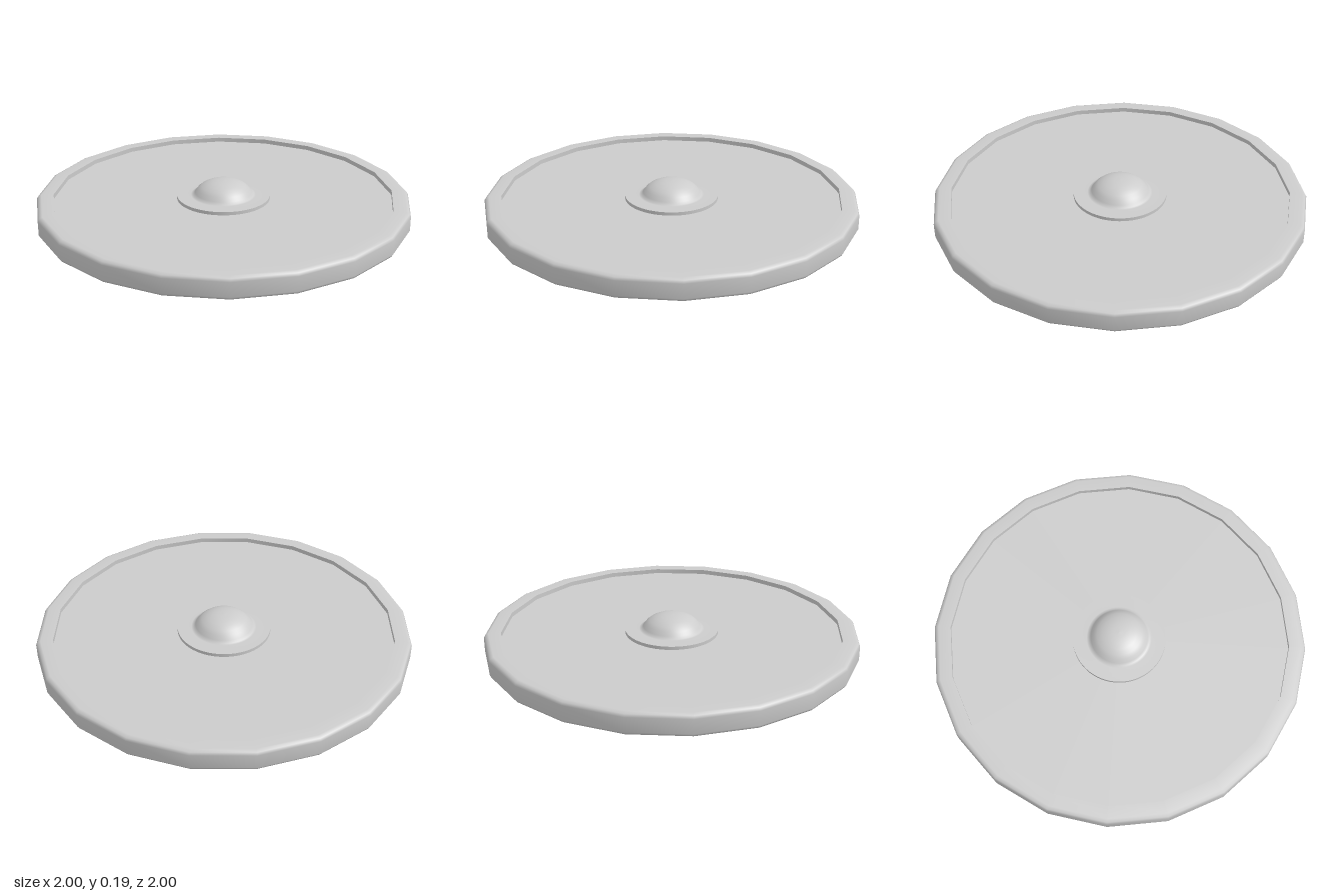
import * as THREE from 'three';
import { mergeGeometries } from 'three/addons/utils/BufferGeometryUtils.js';

const RIM_SIDES = 20;
const BOSS_SIDES = 64;

// Revolves separate profile runs; edges between runs stay sharp.
function turned(name, sides, runs) {
  const parts = runs.map((run) =>
    new THREE.LatheGeometry(run.map(([r, y]) => new THREE.Vector2(r, y)), sides));
  const mesh = new THREE.Mesh(
    mergeGeometries(parts),
    new THREE.MeshStandardMaterial({ color: 0xcccccc })
  );
  mesh.name = name;
  return mesh;
}

export function createModel() {
  const group = new THREE.Group();
  group.name = 'roundShield';

  // Rim: bevelled outside, sharp inner walls above and below the plate
  group.add(turned('rim', RIM_SIDES, [
    [[0.91, 0], [0.975, 0], [0.992, 0.008], [1, 0.022], [1, 0.098], [0.992, 0.112], [0.975, 0.12], [0.91, 0.12]],
    [[0.91, 0.12], [0.91, 0.095]],
    [[0.91, 0.03], [0.91, 0]],
  ]));

  // Plate: flat faces sunk inside the rim
  group.add(turned('plate', RIM_SIDES, [
    [[0, 0.03], [0.91, 0.03]],
    [[0.91, 0.095], [0, 0.095]],
  ]));

  // Boss: thin round base, then a dome blending out of it
  group.add(turned('boss', BOSS_SIDES, [
    [[0.25, 0.095], [0.25, 0.113]],
    [[0.25, 0.113], [0.175, 0.113], [0.163, 0.115], [0.152, 0.127], [0.138, 0.146], [0.118, 0.163],
      [0.09, 0.177], [0.06, 0.186], [0.03, 0.19], [0, 0.191]],
  ]));

  return group;
}
